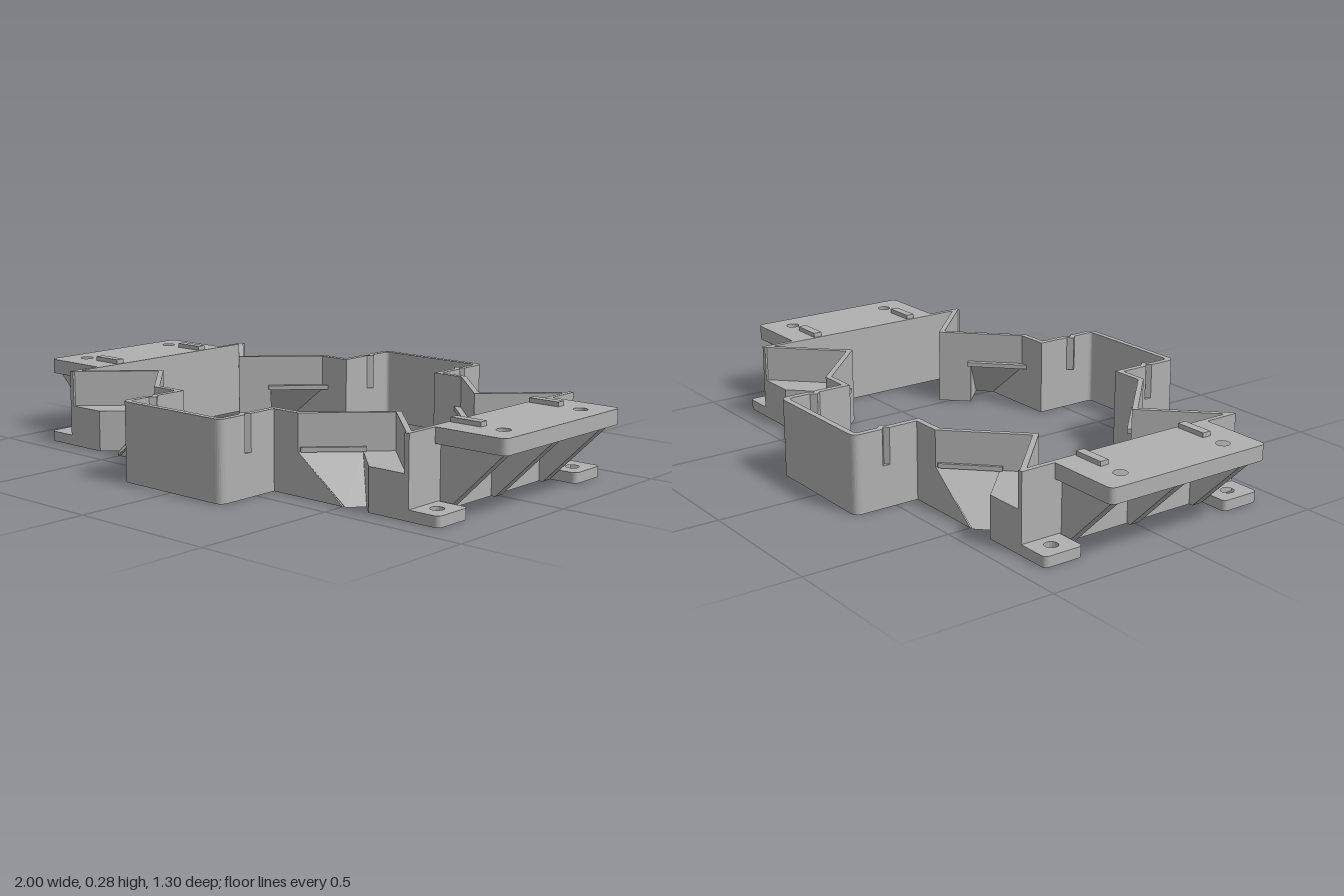
import * as THREE from 'three';
import { ConvexGeometry } from 'three/addons/geometries/ConvexGeometry.js';

const H = 0.26;      // wall height
const LEDGE = 0.14;  // height of the ledges and cable openings

export function createModel() {
  const group = new THREE.Group();
  const grey = new THREE.MeshStandardMaterial({ color: 0xb0b0b0 });
  grey.name = 'plain grey';

  function add(name, geometry) {
    const mesh = new THREE.Mesh(geometry, grey);
    mesh.name = name;
    group.add(mesh);
  }

  // Upright prism over an [x, z, cornerRadius] outline, mirrored by sx and sz
  function prism(name, pts, y0, y1, sx = 1, sz = 1, holes = []) {
    const p = pts.map(([x, z]) => new THREE.Vector2(x * sx, z * sz));
    const shape = new THREE.Shape();
    p.forEach((c, i) => {
      const r = pts[i][2] || 0;
      const before = p[(i + p.length - 1) % p.length], after = p[(i + 1) % p.length];
      const a = c.clone().add(before.clone().sub(c).setLength(r));
      const b = c.clone().add(after.clone().sub(c).setLength(r));
      if (i === 0) shape.moveTo(a.x, a.y); else shape.lineTo(a.x, a.y);
      if (r) shape.quadraticCurveTo(c.x, c.y, b.x, b.y);
    });
    for (const [x, z, r] of holes) {
      const hole = new THREE.Path();
      hole.absarc(x * sx, z * sz, r, 0, Math.PI * 2, true);
      shape.holes.push(hole);
    }
    const geo = new THREE.ExtrudeGeometry(shape, { depth: y1 - y0, bevelEnabled: false, curveSegments: 8 });
    geo.rotateX(Math.PI / 2).translate(0, y1, 0);
    add(name, geo);
  }

  // Convex solid from [x, y, z] corners, mirrored by sx and sz
  function solid(name, pts, sx = 1, sz = 1) {
    add(name, new ConvexGeometry(pts.map(([x, y, z]) => new THREE.Vector3(x * sx, y, z * sz))));
  }

  // Triangular bracket or rib: an x, y profile between two z planes
  function slab(name, profile, z0, z1, sx, sz = 1) {
    solid(name, profile.flatMap(([x, y]) => [[x, y, z0], [x, y, z1]]), sx, sz);
  }

  const rect = (x0, x1, z0, z1) => [[x0, z0], [x1, z0], [x1, z1], [x0, z1]];

  for (const sz of [1, -1]) {
    // U-shaped bay, its upper half creased on both sides
    prism('bayLower', [
      [-0.22, 0.40], [-0.22, 0.65, 0.03], [0.22, 0.65, 0.03], [0.22, 0.40],
      [0.20, 0.40], [0.20, 0.63, 0.015], [-0.20, 0.63, 0.015], [-0.20, 0.40],
    ], 0, LEDGE, 1, sz);
    prism('bayUpper', [
      [-0.22, 0.40], [-0.22, 0.52], [-0.205, 0.533], [-0.22, 0.546],
      [-0.22, 0.65, 0.03], [0.22, 0.65, 0.03],
      [0.22, 0.546], [0.205, 0.533], [0.22, 0.52], [0.22, 0.40],
      [0.20, 0.40], [0.20, 0.515], [0.183, 0.533], [0.20, 0.551],
      [0.20, 0.63, 0.015], [-0.20, 0.63, 0.015],
      [-0.20, 0.551], [-0.183, 0.533], [-0.20, 0.515], [-0.20, 0.40],
    ], LEDGE, H, 1, sz);
  }

  for (const sx of [1, -1]) {
    // End wall and mounting plate
    prism('endWall', rect(0.733, 0.75, -0.42, 0.42), 0, H, sx);
    prism('mountingPlate', [[0.733, -0.30], [1, -0.30, 0.025], [1, 0.30, 0.025], [0.733, 0.30]],
      0.21, H, sx, 1, [[0.92, 0.2, 0.022], [0.92, -0.2, 0.022]]);
    for (const z of [-0.255, 0, 0.255]) {
      slab('supportRib', [[0.74, 0], [0.765, 0], [0.98, 0.21], [0.74, 0.21]], z - 0.018, z + 0.018, sx);
    }

    for (const sz of [1, -1]) {
      prism('plateRidge', rect(0.74, 0.85, 0.185, 0.215), H - 0.005, 0.275, sx, sz);
      prism('foot', [[0.745, 0.28], [0.86, 0.28, 0.02], [0.86, 0.42, 0.02], [0.745, 0.42]],
        0, 0.035, sx, sz, [[0.80, 0.35, 0.022]]);

      // V-shaped wall, with a solid ledge under its outer arm
      prism('cornerWall', [[0.315, 0.40], [0.53, 0.185], [0.735, 0.39], [0.75, 0.42],
        [0.74, 0.42], [0.53, 0.21], [0.32, 0.42]], LEDGE, H, sx, sz);
      prism('cornerLedge', [[0.4475, 0.2675], [0.53, 0.185], [0.735, 0.39], [0.745, 0.42], [0.60, 0.42]],
        0, LEDGE, sx, sz);

      // Short wall beside the bay, closing the side of the sloping hood
      prism('shoulderWall', rect(0.20, 0.32, 0.40, 0.42), 0, H, sx, sz);
      slab('hoodSide', [[0.32, 0], [0.50, 0], [0.32, LEDGE]], 0.40, 0.42, sx, sz);

      // Thin sloping hood below the open arm of the V, and the slat above it
      solid('hood', [
        [0.32, LEDGE, 0.42], [0.46, LEDGE, 0.28], [0.555, 0, 0.375], [0.51, 0, 0.42],
        [0.305, LEDGE, 0.41], [0.447, LEDGE, 0.267], [0.535, 0, 0.355], [0.485, 0, 0.405],
      ], sx, sz);
      prism('slat', [[0.287, 0.40], [0.44, 0.247], [0.473, 0.28], [0.333, 0.42]],
        LEDGE, 0.155, sx, sz);
    }
  }
  return group;
}
